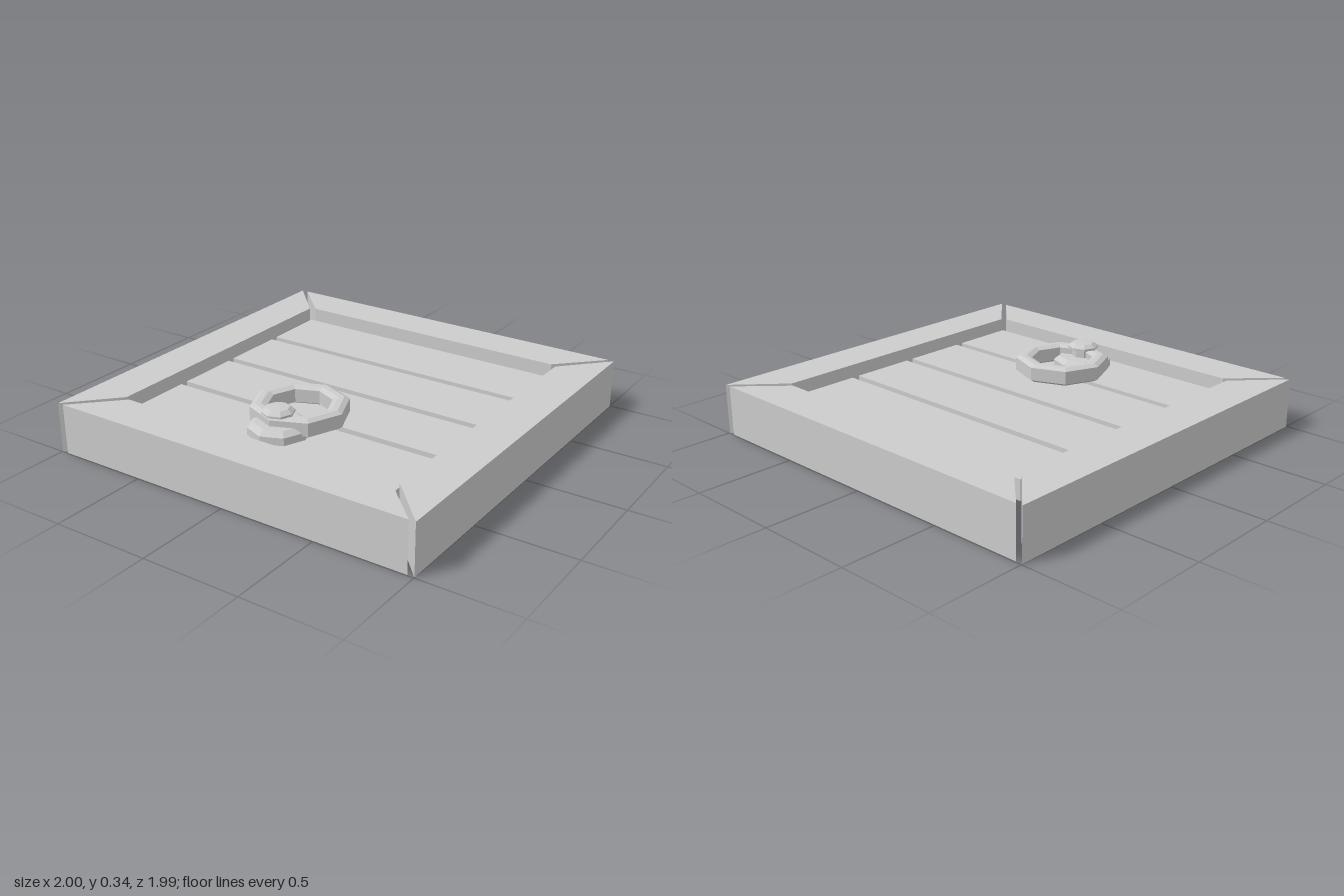
import * as THREE from 'three';

const material = new THREE.MeshStandardMaterial({ color: 0xcccccc, flatShading: true });

function addMesh(parent, name, geometry, x = 0, y = 0, z = 0) {
  const mesh = new THREE.Mesh(geometry, material);
  mesh.name = name;
  mesh.position.set(x, y, z);
  parent.add(mesh);
  return mesh;
}

// Eight-sided turned part from [radius, height] pairs
function turned(profile) {
  return new THREE.LatheGeometry(profile.map(([r, y]) => new THREE.Vector2(r, y)), 8);
}

// Mitred beam lying along x, with its outer side facing +z
function beam(outerHalf, outer, innerHalf, inner, height) {
  const shape = new THREE.Shape([
    new THREE.Vector2(-outerHalf, -outer),
    new THREE.Vector2(outerHalf, -outer),
    new THREE.Vector2(innerHalf, -inner),
    new THREE.Vector2(-innerHalf, -inner),
  ]);
  return new THREE.ExtrudeGeometry(shape, { depth: height, bevelEnabled: false }).rotateX(-Math.PI / 2);
}

export function createModel() {
  const model = new THREE.Group();
  model.name = 'trapdoor';

  // Mitred frame with narrow gaps at the corners
  const frame = new THREE.Group();
  frame.name = 'frame';
  model.add(frame);
  const endBeam = beam(0.967, 0.995, 0.747, 0.773, 0.257);
  const sideBeam = beam(0.995, 1, 0.757, 0.777, 0.257);
  addMesh(frame, 'frontBeam', endBeam);
  addMesh(frame, 'backBeam', endBeam).rotation.y = Math.PI;
  addMesh(frame, 'leftBeam', sideBeam).rotation.y = Math.PI / 2;
  addMesh(frame, 'rightBeam', sideBeam).rotation.y = -Math.PI / 2;

  // Recessed planks
  const plank = new THREE.BoxGeometry(1.494, 0.1, 0.336);
  for (let i = 0; i < 4; i++) {
    addMesh(model, `plank${i + 1}`, plank, -0.002, 0.152, (i - 1.5) * 0.377);
  }

  // Pull ring, its mounting plate and the stud holding it
  const handle = new THREE.Group();
  handle.name = 'handle';
  model.add(handle);
  addMesh(handle, 'mountingPlate', turned([[0, 0.2], [0.15, 0.2], [0.15, 0.24], [0.12, 0.262], [0, 0.262]]), 0, 0, 0.563);
  addMesh(handle, 'pullRing', turned([
    [0.185, 0.21], [0.215, 0.21], [0.24, 0.225], [0.24, 0.292], [0.215, 0.305],
    [0.185, 0.305], [0.157, 0.292], [0.157, 0.225], [0.185, 0.21],
  ]), 0, 0, 0.398);
  addMesh(handle, 'stud', turned([
    [0, 0.25], [0.057, 0.25], [0.057, 0.302], [0.08, 0.305], [0.08, 0.316], [0.056, 0.334], [0, 0.337],
  ]), 0, 0, 0.568);

  return model;
}
